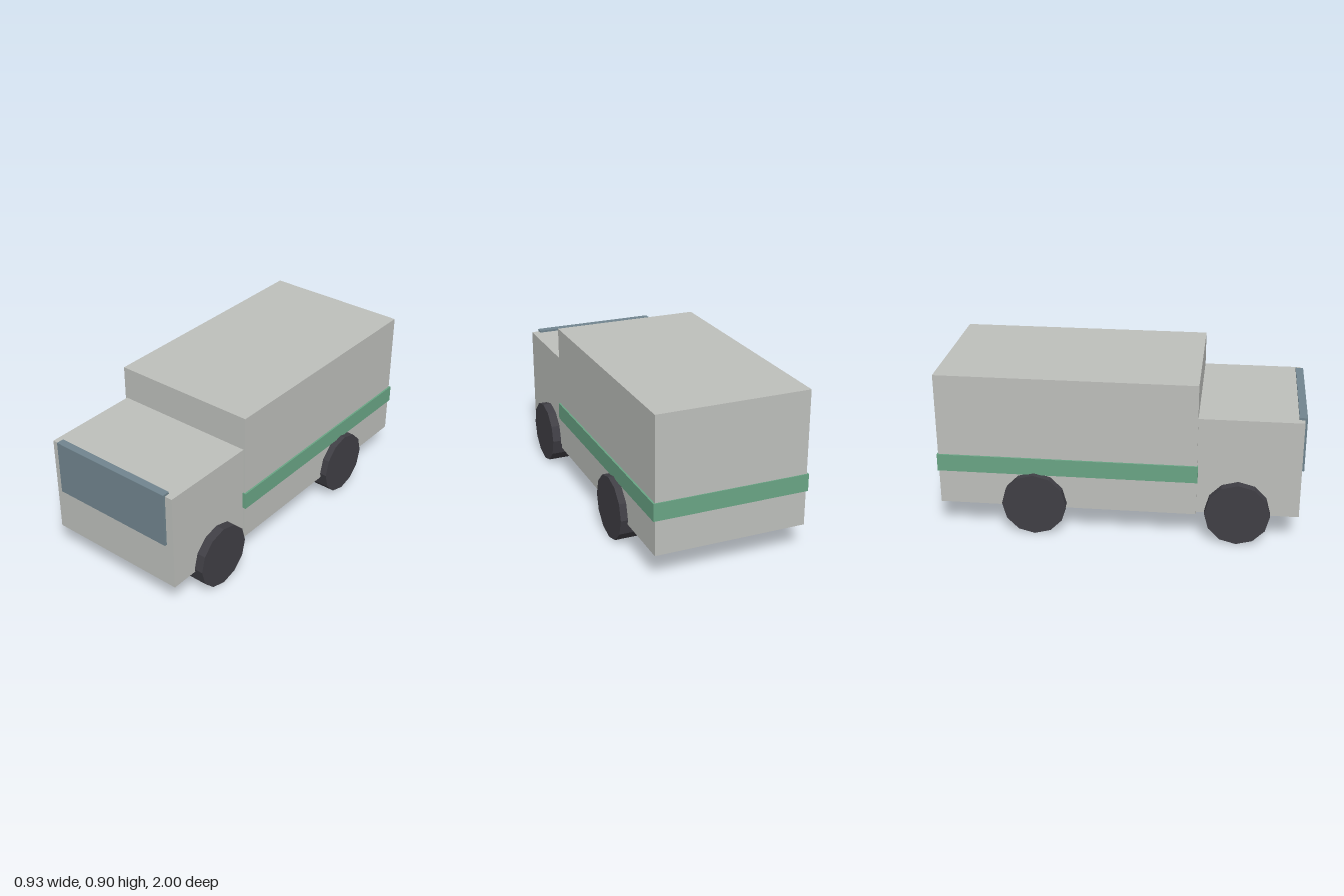
import * as THREE from 'three';

const material = (name, color) => {
  const m = new THREE.MeshStandardMaterial({ color });
  m.name = name;
  return m;
};

export function createModel() {
  const paint = material('grey paint', 0xbdbfbb);
  const glass = material('blue glass', 0x71858f);
  const green = material('green stripe', 0x6aa585);
  const rubber = material('dark rubber', 0x403f45);
  const van = new THREE.Group();
  van.name = 'van';

  // Box centred on x, given by its width and its y and z limits
  const addBox = (name, mat, width, y0, y1, z0, z1) => {
    const mesh = new THREE.Mesh(new THREE.BoxGeometry(width, y1 - y0, z1 - z0), mat);
    mesh.position.set(0, (y0 + y1) / 2, (z0 + z1) / 2);
    mesh.name = name;
    van.add(mesh);
  };

  // Bodywork
  addBox('cargoBox', paint, 0.846, 0.15, 0.905, -0.994, 0.428);
  addBox('cab', paint, 0.826, 0.16, 0.715, 0.42, 0.986);
  addBox('windscreen', glass, 0.738, 0.417, 0.727, 0.957, 1);
  addBox('stripeBand', green, 0.866, 0.345, 0.442, -1, 0.433);

  // Four twelve-sided wheels
  const wheelGeometry = new THREE.CylinderGeometry(0.178, 0.178, 0.125, 12)
    .rotateZ(Math.PI / 2).toNonIndexed();
  wheelGeometry.computeVertexNormals();
  for (const [end, z] of [['front', 0.652], ['rear', -0.462]]) {
    for (const [side, sign] of [['Left', 1], ['Right', -1]]) {
      const wheel = new THREE.Mesh(wheelGeometry, rubber);
      wheel.name = `${end}${side}Wheel`;
      wheel.position.set(sign * 0.4005, 0.178, z);
      van.add(wheel);
    }
  }
  return van;
}
